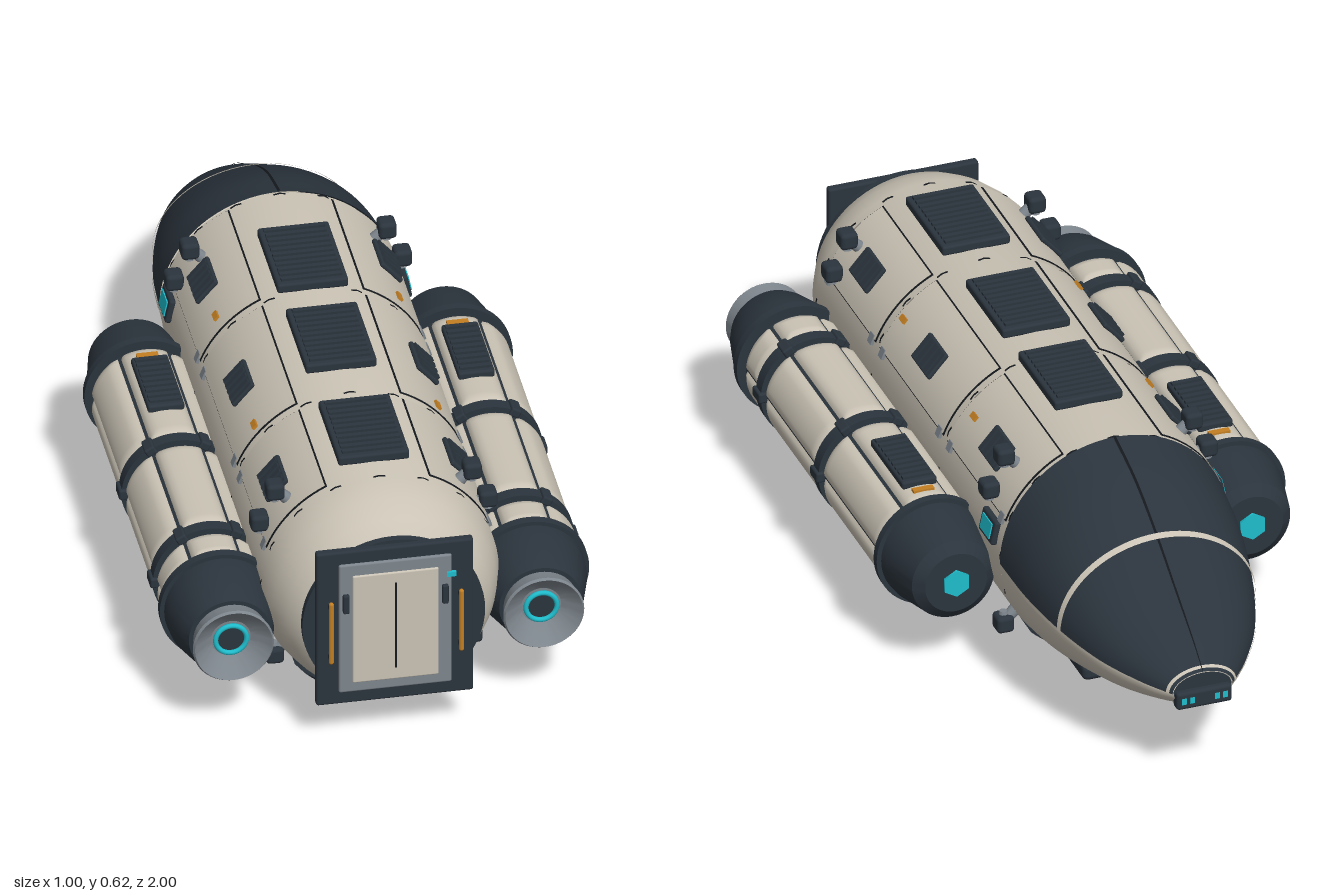
import * as THREE from 'three';
import { toCreasedNormals } from 'three/addons/utils/BufferGeometryUtils.js';
import { RoundedBoxGeometry } from 'three/addons/geometries/RoundedBoxGeometry.js';

const material = (name, color, side = THREE.FrontSide) => {
  const m = new THREE.MeshStandardMaterial({ color, side });
  m.name = name;
  return m;
};
const HULL = material('warm white', 0xcac3b5, THREE.DoubleSide);
const DARK = material('slate', 0x2b343d, THREE.DoubleSide);
const BLACK = material('seam black', 0x14181c, THREE.DoubleSide);
const GREY = material('metal grey', 0x7d858c, THREE.DoubleSide);
const ORANGE = material('orange', 0xc47f22);
const TEAL = material('teal glow', 0x1fbccb);

const CY = 0.315, R = 0.275; // hull axis height and radius
const rad = THREE.MathUtils.degToRad;

function add(parent, name, geometry, mat, x = 0, y = 0, z = 0) {
  const mesh = new THREE.Mesh(geometry, mat);
  mesh.name = name;
  mesh.position.set(x, y, z);
  parent.add(mesh);
  return mesh;
}
const box = (w, h, d) => new THREE.BoxGeometry(w, h, d);
const round = (w, h, d, r) => new RoundedBoxGeometry(w, h, d, 2, r);

// Solid of revolution around z from [z, radius] pairs
function turned(profile, start = 0, length = Math.PI * 2, sides = 64) {
  const pts = profile.map(([z, r]) => new THREE.Vector2(r, z));
  return toCreasedNormals(new THREE.LatheGeometry(pts, sides, start, length).rotateX(Math.PI / 2), 0.5);
}

// Curved sheet from a rule (u, v) -> [x, y, z]
function sheet(rule, nu, nv) {
  const g = new THREE.PlaneGeometry(1, 1, nu, nv), p = g.attributes.position, uv = g.attributes.uv;
  for (let i = 0; i < p.count; i++) p.setXYZ(i, ...rule(uv.getX(i), uv.getY(i)));
  g.computeVertexNormals();
  return g;
}
const lerp = THREE.MathUtils.lerp;

// Patch of the hull cylinder; angles in degrees from the top towards +x
function hullPatch(a0, a1, z0, z1, r) {
  return sheet((u, v) => {
    const a = rad(lerp(a0, a1, u));
    return [r * Math.sin(a), CY + r * Math.cos(a), lerp(z1, z0, v)];
  }, 12, 1);
}

// Group sitting on the hull with its y axis pointing outward
function hullMount(parent, name, angle, z, r = R) {
  const g = new THREE.Group(), a = rad(angle);
  g.name = name;
  g.position.set(r * Math.sin(a), CY + r * Math.cos(a), z);
  g.rotation.z = -a;
  parent.add(g);
  return g;
}

// Slatted vent lying in the xz plane
function vent(parent, name, w, d, h, slats) {
  add(parent, name, round(w, h, d, 0.006), DARK);
  for (let i = 0; i < slats; i++)
    add(parent, name + 'Slat', box(w * 0.86, 0.008, d / slats * 0.5), DARK, 0, h / 2 + 0.002, d * 0.92 * ((i + 0.5) / slats - 0.5));
}

// Nose cross-sections: half width, top, bottom / z, axis height
const noseSize = new THREE.CatmullRomCurve3([
  [0.275, 0.59, 0.04], [0.262, 0.55, 0.075], [0.232, 0.48, 0.115], [0.185, 0.4, 0.152], [0.125, 0.338, 0.185], [0.07, 0.29, 0.21],
].map((p) => new THREE.Vector3(...p)), false, 'catmullrom');
const noseAxis = new THREE.CatmullRomCurve3([
  [-0.41, 0.315], [-0.55, 0.3], [-0.69, 0.285], [-0.82, 0.27], [-0.92, 0.258], [-0.985, 0.248],
].map(([z, c]) => new THREE.Vector3(z, c, 0)), false, 'catmullrom');
function noseSheet(a0, a1, v0, v1, off, nu, nv) {
  return sheet((u, v) => {
    const a = rad(lerp(a0, a1, u)), t = lerp(v0, v1, v);
    const s = noseSize.getPoint(t), c = noseAxis.getPoint(t), k = Math.cos(a);
    return [(s.x + off) * Math.sin(a), c.y + k * ((k > 0 ? s.y - c.y : c.y - s.z) + off), c.x];
  }, nu, nv);
}

function buildNose(parent) {
  add(parent, 'noseHull', noseSheet(90, 270, 0, 1, 0, 40, 30), HULL);
  add(parent, 'canopy', noseSheet(-90, 90, 0, 1, 0.003, 40, 30), DARK);
  add(parent, 'canopyRib', noseSheet(-90, 90, 0.39, 0.41, 0.008, 40, 1), HULL);
  add(parent, 'canopyTipRib', noseSheet(-88, 88, 0.965, 0.985, 0.006, 24, 1), HULL);
  add(parent, 'canopyCentreSeam', noseSheet(-0.7, 0.7, 0, 1, 0.006, 1, 30), BLACK);
  for (const s of [-1, 1]) add(parent, 'canopySill', noseSheet(s * 91 - 1, s * 91 + 1, 0, 1, 0.005, 2, 30), HULL);
  const cap = add(parent, 'noseCap', new THREE.CircleGeometry(1, 32), DARK, 0, 0.25, -0.985);
  cap.scale.set(0.07, 0.041, 1);
  add(parent, 'noseSensorBar', round(0.135, 0.045, 0.03, 0.008), DARK, 0, 0.232, -0.985);
  for (const x of [-0.05, -0.03, 0.03, 0.05]) add(parent, 'noseSensor', box(0.012, 0.016, 0.004), TEAL, x, 0.232, -0.9985);
}

function buildHull(parent) {
  add(parent, 'hull', turned([[-0.41, 0], [-0.41, R], [0.8, R], [0.86, 0.258], [0.91, 0.235], [0.945, 0.205], [0.96, 0.18], [0.96, 0]]), HULL).position.y = CY;
  add(parent, 'bellyShell', turned([[-0.41, 0.25], [-0.4, 0.285], [0.8, 0.285], [0.86, 0.268], [0.91, 0.245], [0.945, 0.22], [0.965, 0.19]], -0.77, 1.54, 32), DARK).position.y = CY;
  add(parent, 'keel', round(0.2, 0.04, 1.13, 0.014), DARK, 0, 0.02, 0.085);
  for (const z of [-0.405, -0.005, 0.435, 0.79]) add(parent, 'ringSeam', hullPatch(-130, 130, z - 0.003, z + 0.003, 0.277).clone(), BLACK);
  // Roof vents
  for (const z of [-0.125, 0.215, 0.605]) vent(hullMount(parent, 'roofVentMount', 0, z, 0.283), 'roofVent', 0.165, 0.245, 0.024, 11);
  // Raised side panels, hatches and markers
  for (const s of [-1, 1]) {
    for (const [z0, z1] of [[-0.395, -0.02], [0.01, 0.42], [0.45, 0.77]]) {
      const [a, b] = s > 0 ? [26, 68] : [-68, -26];
      add(parent, 'panelSeam', hullPatch(a - 0.8, b + 0.8, z0 - 0.004, z1 + 0.004, 0.2775), BLACK);
      add(parent, 'sidePanel', hullPatch(a, b, z0, z1, 0.28), HULL);
      for (const z of [z0 + 0.02, z1 - 0.02])
        add(hullMount(parent, 'panelLatchMount', s * 69, z), 'panelLatch', box(0.025, 0.014, 0.022), GREY);
    }
    for (const z of [-0.22, 0.215, 0.62]) {
      const hatch = hullMount(parent, 'sideHatch', s * 49, z, 0.284);
      add(hatch, 'hatchPlate', round(0.072, 0.012, 0.11, 0.005), DARK);
      for (const dz of [-0.036, -0.012, 0.012, 0.036]) add(hatch, 'hatchRib', box(0.062, 0.012, 0.014), DARK, 0, 0.006, dz);
    }
    for (const z of [-0.07, 0.39]) add(hullMount(parent, 'markerMount', s * 49, z, 0.282), 'marker', box(0.014, 0.008, 0.026), ORANGE);
    // Side screen
    const screen = hullMount(parent, 'sideScreen', s * 78, -0.335, 0.28);
    add(screen, 'screenFrame', round(0.06, 0.016, 0.085, 0.006), DARK);
    add(screen, 'screen', box(0.038, 0.006, 0.058), TEAL, 0, 0.008, 0);
    // Manoeuvring thrusters
    for (const z of [-0.305, 0.715]) for (const [angle, r] of [[46, 0.318], [62, 0.3], [134, 0.32]]) {
      const stem = hullMount(parent, 'thrusterMount', s * angle, z, r);
      add(stem, 'thrusterStem', new THREE.CylinderGeometry(0.012, 0.016, 0.06, 12), GREY, 0, -0.025, 0);
      const block = add(stem, 'thrusterBlock', round(0.042, 0.042, 0.046, 0.01), DARK);
      block.rotation.z = rad(s * angle);
      add(block, 'thrusterNozzle', new THREE.CylinderGeometry(0.009, 0.012, 0.014, 12), GREY, 0, angle > 90 ? 0.022 : -0.022, 0);
    }
  }
}

function buildDoor(parent) {
  add(parent, 'dockingRing', turned([[0.945, 0], [0.945, 0.212], [0.962, 0.212], [0.962, 0]]), DARK, 0, CY);
  add(parent, 'doorFrame', round(0.365, 0.412, 0.022, 0.006), DARK, 0, 0.312, 0.966);
  add(parent, 'doorSurround', round(0.262, 0.346, 0.014, 0.005), GREY, 0, 0.312, 0.976);
  add(parent, 'door', round(0.2, 0.29, 0.012, 0.004), HULL, 0, 0.31, 0.981);
  add(parent, 'doorSlit', box(0.004, 0.23, 0.004), BLACK, 0, 0.312, 0.987);
  add(parent, 'doorLight', box(0.022, 0.012, 0.008), TEAL, 0.13, 0.434, 0.984);
  for (const s of [-1, 1]) {
    add(parent, 'doorHinge', round(0.015, 0.05, 0.014, 0.004), DARK, s * 0.115, 0.382, 0.985);
    add(parent, 'doorHandle', new THREE.CapsuleGeometry(0.006, 0.155, 4, 12), ORANGE, s * 0.151, 0.312, 0.994);
    for (const y of [0.245, 0.38]) add(parent, 'handleBracket', box(0.01, 0.012, 0.02), DARK, s * 0.151, y, 0.982);
  }
}

function buildPod(parent, s) {
  const pod = new THREE.Group();
  pod.name = s > 0 ? 'leftPod' : 'rightPod';
  pod.position.set(s * 0.36, 0.245, 0);
  parent.add(pod);
  add(pod, 'podCore', turned([[-0.2, 0.115], [0.74, 0.115]]), DARK);
  // Six cushioned shell panels in each bay
  for (const [z0, z1] of [[-0.175, 0.2], [0.235, 0.575], [0.61, 0.705]]) for (let i = 0; i < 6; i++)
    add(pod, 'podPanel', sheet((u, v) => {
      const a = rad(i * 60 + 30 + lerp(1, 59, u) + 0);
      const edge = Math.min(u * 0.12, (1 - u) * 0.12, v * (z1 - z0), (1 - v) * (z1 - z0));
      const r = 0.113 + 0.014 * Math.sqrt(Math.min(1, edge / 0.024));
      return [r * Math.sin(a), r * Math.cos(a), lerp(z1, z0, v)];
    }, 16, 30), HULL);
  // Clamp bands with lugs
  for (const z of [0.218, 0.592]) {
    add(pod, 'podBand', turned([[z - 0.016, 0.11], [z - 0.016, 0.13], [z + 0.016, 0.13], [z + 0.016, 0.11]]), DARK);
    for (let i = 0; i < 6; i++) {
      const lug = add(pod, 'bandLug', round(0.026, 0.022, 0.046, 0.005), DARK);
      const a = rad(i * 60 + 30);
      lug.position.set(0.126 * Math.sin(a), 0.126 * Math.cos(a), z);
      lug.rotation.z = -a;
    }
  }
  // End caps, nozzle and lights
  add(pod, 'podRearCap', turned([[-0.345, 0], [-0.345, 0.075], [-0.325, 0.1], [-0.22, 0.124], [-0.195, 0.126], [-0.195, 0.137], [-0.175, 0.137], [-0.175, 0.11]]), DARK);
  add(pod, 'podRearLight', new THREE.CylinderGeometry(0.034, 0.034, 0.008, 6).rotateX(Math.PI / 2), TEAL, 0, 0, -0.347);
  add(pod, 'podFrontCap', turned([[0.71, 0.11], [0.71, 0.138], [0.732, 0.138], [0.732, 0.128], [0.77, 0.126], [0.84, 0.106], [0.862, 0.096], [0.862, 0]]), DARK);
  add(pod, 'nozzle', turned([[0.85, 0.084], [0.875, 0.088], [0.9, 0.094], [0.906, 0.09], [0.9, 0.084], [0.88, 0.062], [0.868, 0.046], [0.866, 0]]), GREY);
  add(pod, 'nozzleRing', new THREE.TorusGeometry(0.036, 0.006, 10, 32), TEAL, 0, 0, 0.873);
  add(pod, 'nozzleCore', new THREE.CircleGeometry(0.034, 32), DARK, 0, 0, 0.871);
  // Top vent and marker
  const top = new THREE.Group();
  top.name = 'podVentMount';
  top.position.set(0, 0.131, -0.005);
  pod.add(top);
  vent(top, 'podVent', 0.085, 0.21, 0.02, 9);
  add(pod, 'podMarker', box(0.05, 0.012, 0.016), ORANGE, 0, 0.125, -0.13);
}

export function createModel() {
  const model = new THREE.Group();
  model.name = 'shuttle';
  buildHull(model);
  buildNose(model);
  buildDoor(model);
  for (const s of [-1, 1]) buildPod(model, s);
  return model;
}
